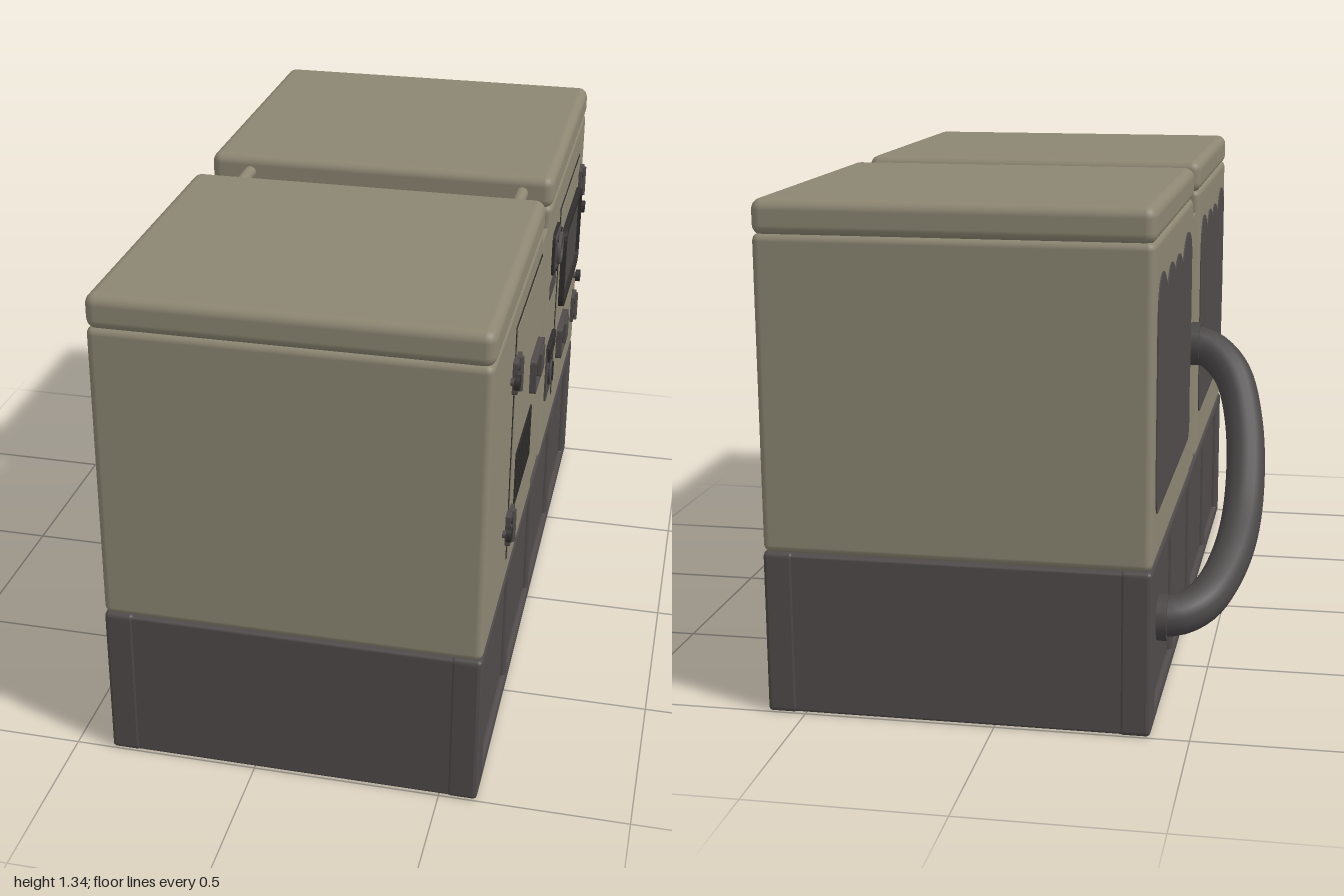
import * as THREE from 'three';
import { RoundedBoxGeometry } from 'three/addons/geometries/RoundedBoxGeometry.js';

const mat = (name, color) => Object.assign(new THREE.MeshStandardMaterial({ color }), { name });

export function createModel() {
  const root = new THREE.Group();
  root.name = 'generator';
  const olive = mat('olive paint', 0x8c8672);
  const dark = mat('dark grey paint', 0x504b4a);
  const hoseGrey = mat('hose rubber', 0x4a4747);
  const black = mat('seam black', 0x302e2d);
  const glass = mat('window grey', 0x4b4747);

  const add = (name, geo, m, parent = root) => {
    const mesh = new THREE.Mesh(geo, m);
    mesh.name = name;
    parent.add(mesh);
    return mesh;
  };
  // Box given by its limits; rounded when r > 0
  const box = (name, m, [x0, x1], [y0, y1], [z0, z1], r = 0, parent = root) => {
    const s = [x1 - x0, y1 - y0, z1 - z0];
    const geo = r ? new RoundedBoxGeometry(...s, 3, r) : new THREE.BoxGeometry(...s);
    const mesh = add(name, geo, m, parent);
    mesh.position.set((x0 + x1) / 2, (y0 + y1) / 2, (z0 + z1) / 2);
    return mesh;
  };
  const roundRect = (P, u0, u1, v0, v1, r) => {
    const p = new P();
    p.moveTo(u0 + r, v0);
    p.lineTo(u1 - r, v0);
    p.quadraticCurveTo(u1, v0, u1, v0 + r);
    p.lineTo(u1, v1 - r);
    p.quadraticCurveTo(u1, v1, u1 - r, v1);
    p.lineTo(u0 + r, v1);
    p.quadraticCurveTo(u0, v1, u0, v1 - r);
    p.lineTo(u0, v0 + r);
    p.quadraticCurveTo(u0, v0, u0 + r, v0);
    return p;
  };
  // Plate on the +x wall, z from za to zb (za > zb), optional frame width
  const plate = (name, m, za, zb, y0, y1, depth, { r = 0.002, frame = 0, x = 0.6 } = {}, parent = root) => {
    const s = roundRect(THREE.Shape, -za, -zb, y0, y1, r);
    if (frame) {
      s.holes.push(roundRect(THREE.Path, -za + frame, -zb - frame, y0 + frame, y1 - frame, Math.max(r - frame / 2, 0.001)));
    }
    const geo = new THREE.ExtrudeGeometry(s, { depth, bevelEnabled: false, curveSegments: 5 });
    const mesh = add(name, geo.rotateY(Math.PI / 2), m, parent);
    mesh.position.x = x;
    return mesh;
  };
  // Round piece pointing along x
  const knob = (name, m, x, y, z, r, len, sides = 16, parent = root) => {
    const mesh = add(name, new THREE.CylinderGeometry(r, r, len, sides).rotateZ(-Math.PI / 2), m, parent);
    mesh.position.set(x + len / 2, y, z);
    return mesh;
  };

  // Base: core plus a bevelled frame and ribs on each long side
  const base = new THREE.Group();
  base.name = 'base';
  root.add(base);
  box('baseCore', dark, [-0.385, 0.585], [0.005, 0.432], [-0.998, 0.998], 0.008, base);
  for (const side of [1, -1]) {
    const s = roundRect(THREE.Shape, -1, 1, 0.002, 0.436, 0.015);
    s.holes.push(roundRect(THREE.Path, -0.9, 0.9, 0.04, 0.4, 0.002));
    const geo = new THREE.ExtrudeGeometry(s, {
      depth: 0.06, bevelSize: 0.01, bevelThickness: 0.01, bevelOffset: -0.01, bevelSegments: 2,
    });
    const frame = add('baseSideFrame', geo.rotateY(side * Math.PI / 2), dark, base);
    frame.position.x = 0.1 + side * 0.43;
    for (const z of [-0.47, 0, 0.47]) {
      const rib = add('baseRib', new THREE.CylinderGeometry(0.015, 0.015, 0.36, 10), dark, base);
      rib.position.set(0.1 + side * 0.485, 0.22, z);
    }
  }

  // Two housings with overhanging lids, joined by a low centre section
  for (const [name, z0, z1] of [['front', 0.088, 1], ['rear', -1, -0.085]]) {
    box(name + 'Housing', olive, [-0.4, 0.6], [0.435, 1.255], [z0, z1], 0.02);
    box(name + 'Lid', olive, [-0.402, 0.602], [1.247, 1.34], [z0 - (z0 > 0 ? 0.008 : 0), z1 + (z1 < 0 ? 0.008 : 0)], 0.028);
  }
  box('centreSection', olive, [-0.392, 0.592], [0.43, 1.18], [-0.11, 0.11]);
  for (const [x0, x1, bx, rx] of [[-0.392, -0.275, -0.333, -0.285], [0.5, 0.592, 0.555, 0.513]]) {
    box('liftPlate', olive, [x0, x1], [1.18, 1.188], [-0.1, 0.1]);
    for (const z of [-0.053, 0.04]) {
      add('liftBolt', new THREE.CylinderGeometry(0.02, 0.02, 0.014, 6), dark).position.set(bx, 1.193, z);
    }
    const rod = add('linkRod', new THREE.CylinderGeometry(0.018, 0.018, 0.22, 14).rotateX(Math.PI / 2), olive);
    rod.position.set(rx, 1.292, 0);
  }

  // Doors with seam, hinges, knobs and latch
  const door = (name, za, zb, y0, y1, hingeZ, knobs, latch) => {
    const g = new THREE.Group();
    g.name = name;
    root.add(g);
    plate('doorSeam', black, za, zb, y0, y1, 0.002, { frame: 0.007 }, g);
    plate('doorPanel', olive, za - 0.007, zb + 0.007, y0 + 0.007, y1 - 0.007, 0.004, {}, g);
    for (const y of [1.065, 0.62]) {
      plate('hingePlate', dark, hingeZ + 0.037, hingeZ - 0.037, y - 0.046, y + 0.046, 0.014, { r: 0.006 }, g);
      const pin = add('hingePin', new THREE.CylinderGeometry(0.01, 0.01, 0.094, 10), dark, g);
      pin.position.set(0.614, y, hingeZ);
      for (const dz of [-0.023, 0.023]) {
        for (const dy of [-0.025, 0.025]) knob('hingeScrew', black, 0.613, y + dy, hingeZ + dz, 0.006, 0.004, 8, g);
      }
    }
    for (const [z, y] of knobs) {
      knob('knobStem', dark, 0.6, y, z, 0.01, 0.015, 10, g);
      knob('doorKnob', black, 0.61, y, z, 0.02, 0.014, 14, g);
    }
    const [lz, ly] = latch;
    plate('latchPlate', dark, lz + 0.086, lz - 0.086, ly - 0.051, ly + 0.051, 0.014, { r: 0.012 }, g);
    plate('latchRim', dark, lz + 0.086, lz - 0.086, ly - 0.051, ly + 0.051, 0.022, { r: 0.012, frame: 0.01 }, g);
    plate('latchPaddle', dark, lz, lz - 0.07, ly - 0.036, ly + 0.036, 0.026, { r: 0.006 }, g);
    knob('latchLock', black, 0.613, ly, lz + 0.035, 0.014, 0.006, 12, g);
  };
  door('frontDoor', 0.62, 0.11, 0.51, 1.19, 0.62, [[0.685, 1.07], [0.705, 0.64]], [0.215, 0.9]);
  door('rearDoor', -0.335, -0.855, 0.54, 1.16, -0.862, [[-0.892, 0.965], [-0.885, 0.722]], [-0.475, 0.69]);

  // Window in the rear door
  plate('windowGlass', glass, -0.385, -0.81, 0.82, 1.06, 0.01, { r: 0.04 });
  plate('windowRim', black, -0.377, -0.82, 0.81, 1.07, 0.02, { r: 0.05, frame: 0.018 });

  // Lattice vent in the front door
  const vent = new THREE.Group();
  vent.name = 'vent';
  root.add(vent);
  for (let i = 0; i <= 9; i++) {
    const z = 0.247 + i * 0.0322;
    box('ventBar', black, [0.6, 0.608], [0.635, 0.787], [z - 0.005, z + 0.005], 0, vent);
  }
  for (let i = 0; i <= 5; i++) {
    const y = 0.635 + i * 0.0303;
    box('ventBar', black, [0.6, 0.607], [y - 0.005, y + 0.005], [0.242, 0.542], 0, vent);
  }

  // Exhaust port with round socket, and its label below
  plate('portPlate', dark, -0.158, -0.274, 1.02, 1.136, 0.012, { r: 0.02 });
  plate('portRim', black, -0.15, -0.282, 1.012, 1.144, 0.008, { r: 0.025, frame: 0.014 });
  const ring = add('portRing', new THREE.TorusGeometry(0.038, 0.009, 8, 24).rotateY(Math.PI / 2), dark);
  ring.position.set(0.614, 1.078, -0.216);
  knob('portCentre', black, 0.608, 1.078, -0.216, 0.02, 0.008, 20);
  for (const dz of [-0.045, 0.045]) {
    for (const dy of [-0.045, 0.045]) knob('portScrew', black, 0.61, 1.078 + dy, -0.216 + dz, 0.007, 0.006, 8);
  }
  plate('labelPatch', dark, -0.142, -0.288, 0.94, 0.995, 0.002, { r: 0.006 });
  const flash = new THREE.Shape([[0.76, 0.765], [0.85, 0.768], [0.8, 0.752], [0.79, 0.74], [0.785, 0.757]].map(p => new THREE.Vector2(...p)));
  const mark = add('smallPatch', new THREE.ShapeGeometry(flash).rotateY(Math.PI / 2), dark);
  mark.material.side = THREE.DoubleSide;
  mark.position.x = 0.606;

  // Rotary switch panel
  plate('switchPanel', dark, -0.143, -0.29, 0.61, 0.785, 0.006, { r: 0.004 });
  plate('switchHood', black, -0.143, -0.29, 0.74, 0.787, 0.012, { r: 0.004 });
  knob('switchRim', black, 0.604, 0.68, -0.215, 0.042, 0.005, 24);
  knob('switchDial', dark, 0.605, 0.68, -0.215, 0.036, 0.008, 24);
  plate('switchGrip', black, -0.21, -0.22, 0.65, 0.712, 0.018);

  // Ragged dark patches on the -x wall of each housing
  for (const z0 of [-0.945, 0.145]) {
    const s = new THREE.Shape();
    s.moveTo(0.03, 0.565);
    s.lineTo(0.77, 0.565);
    s.quadraticCurveTo(0.81, 0.58, 0.805, 0.66);
    s.quadraticCurveTo(0.79, 0.72, 0.81, 0.8);
    s.lineTo(0.81, 1.1);
    s.quadraticCurveTo(0.8, 1.16, 0.74, 1.17);
    for (const [u, v, top] of [[0.57, 1.11, 1.2], [0.38, 1.12, 1.19], [0.2, 1.11, 1.2], [0.03, 1.14, 1.2]]) {
      s.quadraticCurveTo(u + 0.08, top, u, v);
    }
    s.quadraticCurveTo(-0.005, 1.1, 0, 1);
    s.lineTo(0, 0.64);
    s.quadraticCurveTo(0, 0.58, 0.03, 0.565);
    const geo = new THREE.ExtrudeGeometry(s, { depth: 0.003, bevelEnabled: false, curveSegments: 6 });
    const patch = add('sidePatch', geo.rotateY(-Math.PI / 2), dark);
    patch.position.set(-0.4, 0, z0);
  }

  // Hose from the centre section down to the base
  const path = new THREE.CatmullRomCurve3([
    [-0.37, 0.815, -0.01], [-0.44, 0.805, -0.015], [-0.515, 0.745, -0.06], [-0.56, 0.62, -0.14], [-0.577, 0.43, -0.33],
    [-0.555, 0.32, -0.51], [-0.5, 0.25, -0.65], [-0.44, 0.225, -0.7], [-0.37, 0.22, -0.715],
  ].map(p => new THREE.Vector3(...p)));
  add('hose', new THREE.TubeGeometry(path, 48, 0.055, 16), hoseGrey);
  knob('hoseFlange', hoseGrey, -0.42, 0.815, -0.01, 0.064, 0.04, 20);
  knob('hoseFlange', hoseGrey, -0.412, 0.22, -0.715, 0.062, 0.04, 20);

  return root;
}
